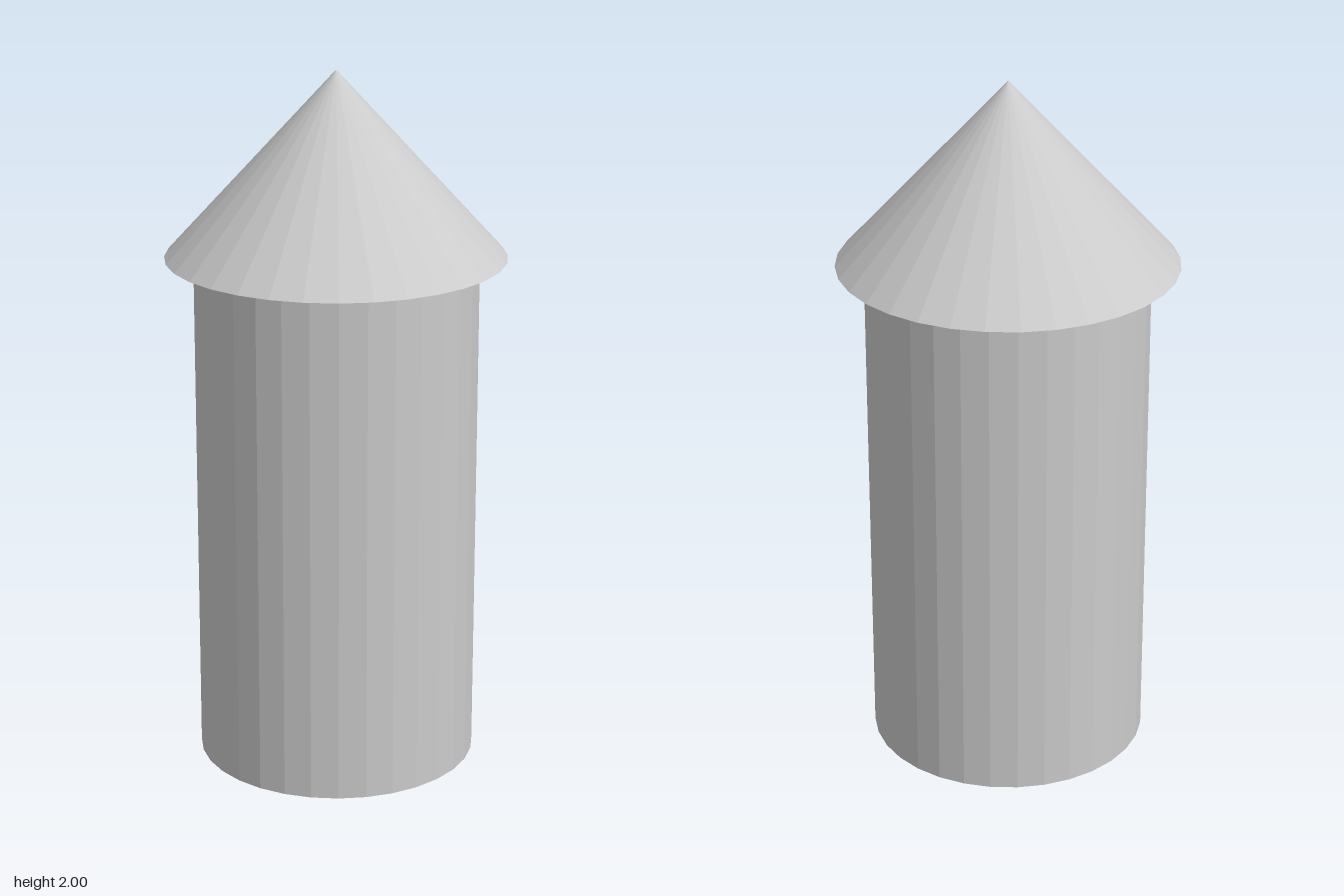
import * as THREE from 'three';

const SIDES = 32;
const BODY_RADIUS = 0.4;
const ROOF_RADIUS = 0.48;
const EAVES = 1.475;
const HEIGHT = 2;

export function createModel() {
  const group = new THREE.Group();
  group.name = 'tower';
  const material = new THREE.MeshStandardMaterial({ color: 0xcccccc, flatShading: true });

  // Cylindrical tower wall, standing slightly forward of the roof axis
  const wall = new THREE.Mesh(
    new THREE.CylinderGeometry(BODY_RADIUS, BODY_RADIUS, EAVES, SIDES),
    material
  );
  wall.name = 'towerWall';
  wall.position.set(0, EAVES / 2, 0.008);
  group.add(wall);

  // Overhanging conical roof with a closed underside
  const roofHeight = HEIGHT - EAVES;
  const roof = new THREE.Mesh(new THREE.ConeGeometry(ROOF_RADIUS, roofHeight, SIDES), material);
  roof.name = 'coneRoof';
  roof.position.y = EAVES + roofHeight / 2;
  group.add(roof);

  return group;
}
